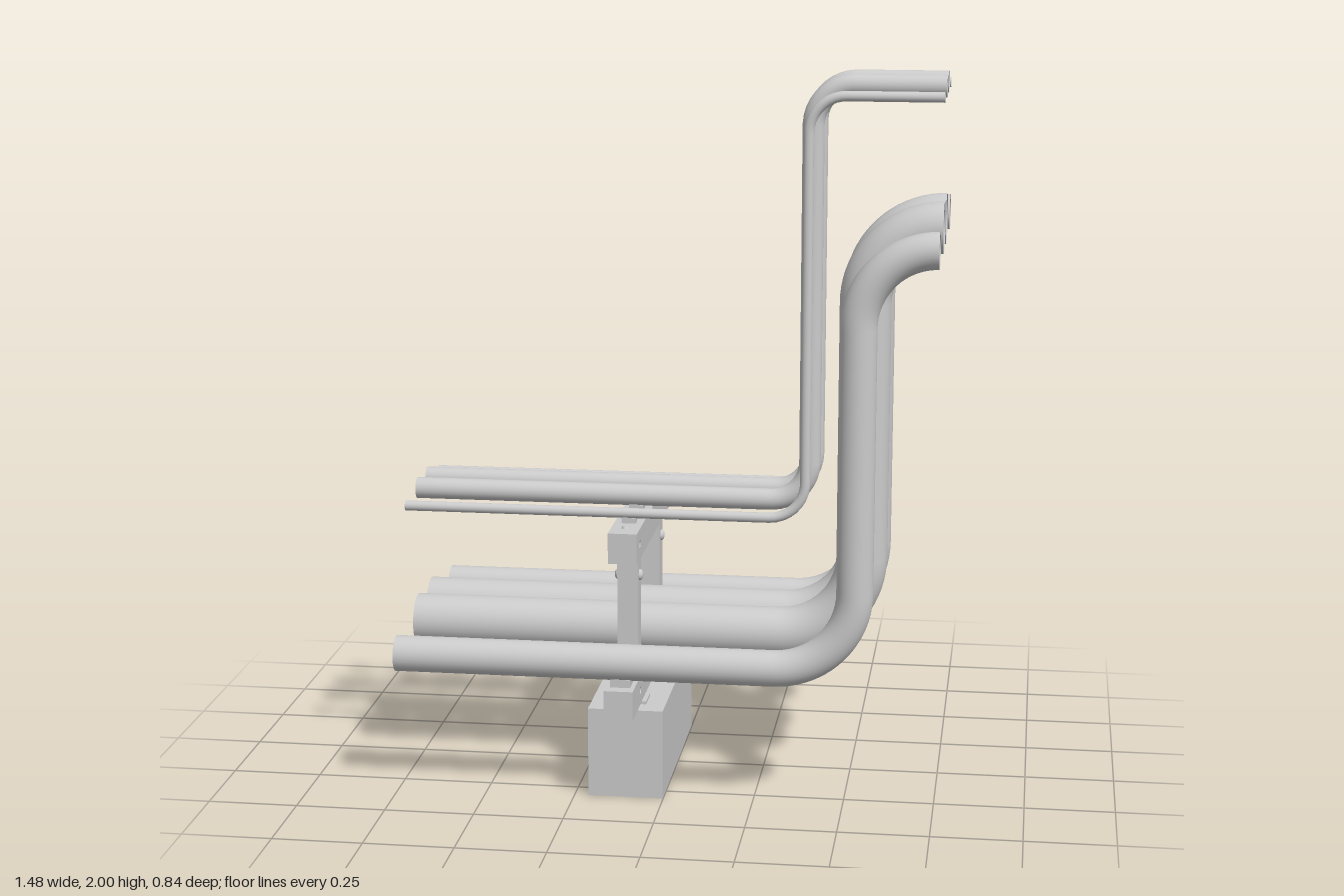
import * as THREE from 'three';

const material = new THREE.MeshStandardMaterial({ color: 0xcccccc });
const openMaterial = new THREE.MeshStandardMaterial({ color: 0xcccccc, side: THREE.DoubleSide });
const END = 0.74;      // pipes run from -END to +END in x
const POST_X = -0.108; // centre line of the support frame

function add(parent, name, geometry, x = 0, y = 0, z = 0, mat = material) {
  const mesh = new THREE.Mesh(geometry, mat);
  mesh.name = name;
  mesh.position.set(x, y, z);
  parent.add(mesh);
  return mesh;
}

function box(parent, name, sx, y0, y1, sz, x, z) {
  return add(parent, name, new THREE.BoxGeometry(sx, y1 - y0, sz), x, (y0 + y1) / 2, z);
}

// S-shaped path: level run, quarter bend up, riser, quarter bend to level
function pipePath(low, high, riserX, r1, r2) {
  const v = (x, y) => new THREE.Vector3(x, y, 0);
  const c = 0.4477; // handle distance from the corner for a quarter circle
  const path = new THREE.CurvePath();
  const a = v(riserX - r1, low), b = v(riserX, low + r1);
  const d = v(riserX, high - r2), e = v(riserX + r2, high);
  path.add(new THREE.LineCurve3(v(-END, low), a));
  path.add(new THREE.CubicBezierCurve3(a, v(riserX - r1 * c, low), v(riserX, low + r1 * c), b));
  path.add(new THREE.LineCurve3(b, d));
  path.add(new THREE.CubicBezierCurve3(d, v(riserX, high - r2 * c), v(riserX + r2 * c, high), e));
  if (END - e.x > 0.001) path.add(new THREE.LineCurve3(e, v(END, high)));
  return path;
}

// Beam along z with two through holes in its side faces
function beam(parent, name, halfLength, y0, y1) {
  const w = 0.08, h = (y1 - y0) / 2;
  const shape = new THREE.Shape([
    new THREE.Vector2(-halfLength, -h), new THREE.Vector2(halfLength, -h),
    new THREE.Vector2(halfLength, h), new THREE.Vector2(-halfLength, h),
  ]);
  for (const s of [-1, 1]) {
    shape.holes.push(new THREE.Path().absarc(s * 0.276, 0, 0.011, 0, Math.PI * 2, true));
  }
  const g = new THREE.ExtrudeGeometry(shape, { depth: w, bevelEnabled: false, curveSegments: 12 });
  g.translate(0, 0, -w / 2).rotateY(Math.PI / 2);
  add(parent, name, g, POST_X, (y0 + y1) / 2, 0);
  for (const s of [-1, 1]) {
    add(parent, name + 'Bolt', new THREE.CylinderGeometry(0.008, 0.012, 0.008, 16), POST_X, y1 + 0.003, s * 0.276);
  }
}

export function createModel() {
  const model = new THREE.Group();
  model.name = 'pipeRack';

  // Foundation and support frame
  const frame = new THREE.Group();
  frame.name = 'supportFrame';
  model.add(frame);
  box(frame, 'foundationBlock', 0.21, 0, 0.255, 0.62, -0.106, 0);
  beam(frame, 'lowerBeam', 0.422, 0.262, 0.345);
  beam(frame, 'upperBeam', 0.337, 0.682, 0.768);
  for (const s of [-1, 1]) {
    const z = s * 0.214;
    box(frame, 'footPlate', 0.105, 0.254, 0.263, 0.08, POST_X, z);
    box(frame, 'post', 0.058, 0.34, 0.685, 0.058, POST_X, z);
    for (const side of [-1, 1]) {
      const bolt = add(frame, 'postBolt', new THREE.SphereGeometry(0.016, 16, 8), POST_X + side * 0.029, 0.62, z);
      bolt.scale.set(0.7, 1, 1);
    }
  }

  // Mirrored pairs of open pipes and the saddles they rest on
  const pipes = [
    { name: 'outerPipe', z: 0.36, r: 0.05, low: 0.41, high: 1.57, x: 0.53, r1: 0.22, r2: 0.21, seat: 0.34, w: 0.055 },
    { name: 'largePipe', z: 0.086, r: 0.071, low: 0.43, high: 1.59, x: 0.53, r1: 0.23, r2: 0.21, seat: 0.34, w: 0.08 },
    { name: 'mediumPipe', z: 0.063, r: 0.03, low: 0.81, high: 1.97, x: 0.38, r1: 0.11, r2: 0.11, seat: 0.765, w: 0.04 },
    { name: 'thinPipe', z: 0.212, r: 0.014, low: 0.795, high: 1.955, x: 0.38, r1: 0.1, r2: 0.1, seat: 0.765, w: 0.022 },
  ];
  for (const p of pipes) {
    const path = pipePath(p.low, p.high, p.x, p.r1, p.r2);
    const tube = new THREE.TubeGeometry(path, 140, p.r, 28, false);
    for (const s of [-1, 1]) {
      add(model, p.name, tube, 0, 0, s * p.z, openMaterial);
      box(model, p.name + 'Saddle', p.seat < 0.5 ? 0.055 : 0.04, p.seat, p.low - p.r * 0.85, p.w, POST_X, s * p.z);
    }
  }
  return model;
}
